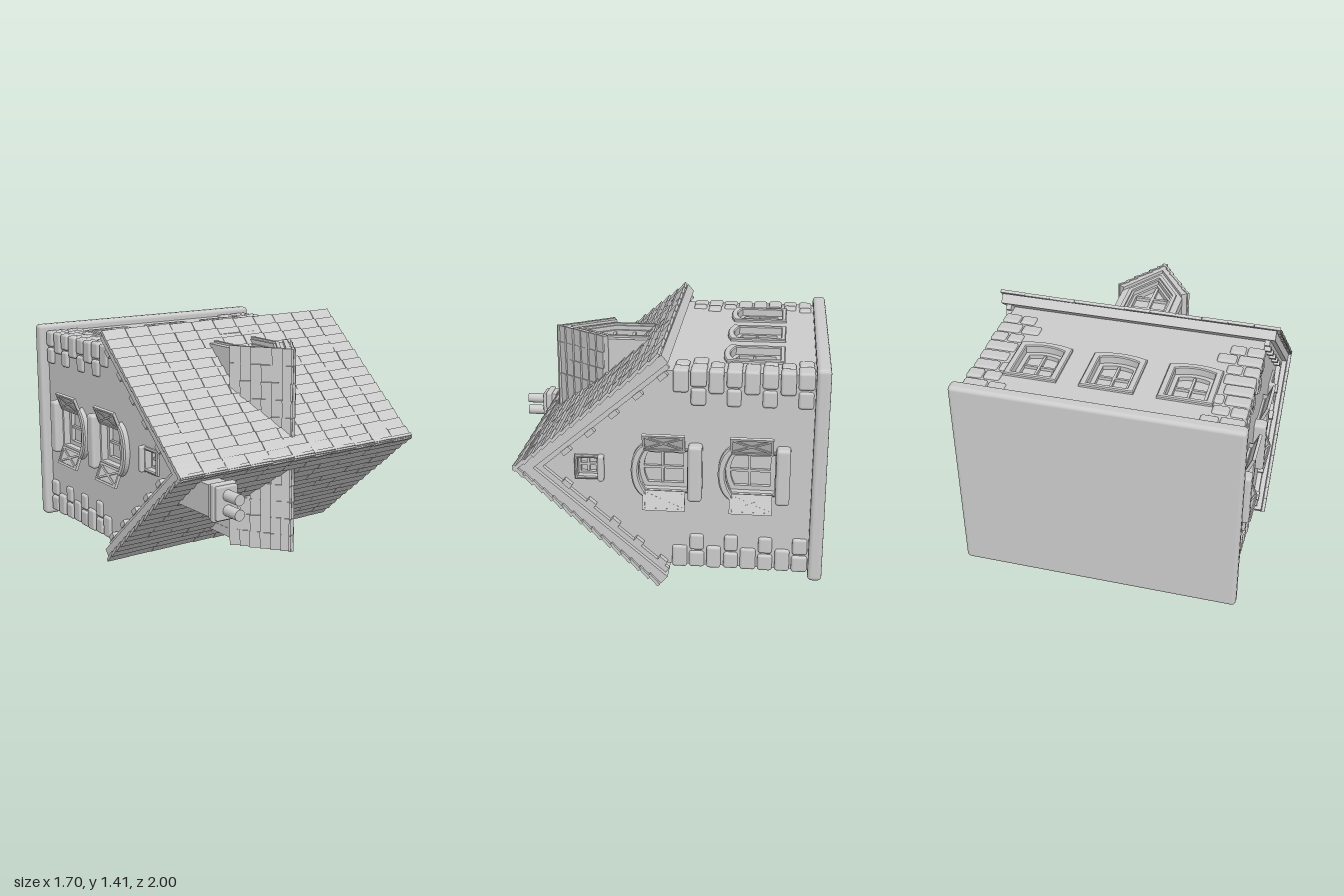
import * as THREE from 'three';
import { mergeGeometries } from 'three/addons/utils/BufferGeometryUtils.js';
import { RoundedBoxGeometry } from 'three/addons/geometries/RoundedBoxGeometry.js';

const mat = new THREE.MeshStandardMaterial({ color: 0xcccccc });
const K = 1.186; // main roof slope
const KD = 1.444; // dormer roof slope
const EAST = Math.PI / 2;

let seed = 7;
const rand = () => (seed = (seed * 16807) % 2147483647) / 2147483647 - 0.5;

function add(parent, name, geometry, x = 0, y = 0, z = 0) {
  const m = new THREE.Mesh(geometry, mat);
  m.name = name;
  m.position.set(x, y, z);
  parent.add(m);
  return m;
}
function group(parent, name, x = 0, y = 0, z = 0) {
  const g = new THREE.Group();
  g.name = name;
  g.position.set(x, y, z);
  parent.add(g);
  return g;
}
const box = (w, h, d) => new THREE.BoxGeometry(w, h, d);
const rounded = (w, h, d, r) => new RoundedBoxGeometry(w, h, d, 2, r);
const poly = pts => new THREE.Shape(pts.map(p => new THREE.Vector2(...p)));
const extrude = (shape, depth, bevel = 0) => new THREE.ExtrudeGeometry(shape, {
  depth, curveSegments: 10, bevelEnabled: bevel > 0, bevelSize: bevel, bevelThickness: bevel, bevelOffset: -bevel, bevelSegments: 1,
});
const ring = (outer, inner) => { outer.holes.push(inner); return outer; };

// Opening with a shallow arched head; h is the crown height
function arch(w, y0, h, rise) {
  const s = new THREE.Shape();
  s.moveTo(-w / 2, y0);
  s.lineTo(w / 2, y0);
  s.lineTo(w / 2, h - rise);
  s.quadraticCurveTo(0, h + rise, -w / 2, h - rise);
  s.closePath();
  return s;
}
// House-end outline: upright sides under a pointed top
const pent = (w, y0, apex, k) => poly([[-w, y0], [w, y0], [w, apex - k * w], [0, apex], [-w, apex - k * w]]);

// Inverted V of even thickness, centred along its length
function chevron(apex, w, k, t, length) {
  const q = Math.hypot(1, k), nx = k / q, ny = 1 / q;
  const e = apex - k * w;
  return extrude(poly([[0, apex], [-w, e], [-w + t * nx, e - t * ny], [0, apex - t / ny], [w - t * nx, e - t * ny], [w, e]]), length)
    .translate(0, 0, -length / 2);
}

// Overlapping tiles on a slope that falls along +z from the ridge
function tileSlope(width, length, cols, rows, thick) {
  const parts = [], cw = width / cols, rl = length / rows;
  for (let i = 0; i < cols; i++) {
    for (let j = 0; j < rows; j++) {
      parts.push(box(cw * 0.985, thick, rl * 1.2)
        .rotateX(-0.15).rotateY(0.03 + rand() * 0.03)
        .translate((i + 0.5) * cw - width / 2, -thick / 2 + rand() * 0.004, (j + 0.5) * rl));
    }
  }
  return mergeGeometries(parts);
}
function tiledRoof(parent, name, apex, k, w, width, cols, rows, thick, turn) {
  for (const side of [0, Math.PI]) {
    const g = group(parent, name, 0, apex, 0);
    g.rotation.y = turn + side;
    add(g, name + 'Rows', tileSlope(width, w * Math.hypot(1, k), cols, rows, thick)).rotation.x = Math.atan(k);
  }
}

// Recessed window, origin at the bottom of the opening on the wall face
function windowUnit(parent, name, x, y, w, h, rise, border) {
  const g = group(parent, name, x, y, 0);
  const s = w * 0.11;
  add(g, 'frame', extrude(ring(arch(w + 2 * border, -0.03, h + border, rise), arch(w, 0, h, rise)), 0.012, 0.006), 0, 0, 0);
  add(g, 'sash', extrude(ring(arch(w, 0, h, rise), arch(w - 2 * s, s, h - s, rise * 0.8)), 0.025), 0, 0, -0.055);
  add(g, 'upright', box(0.014, h - s, 0.02), 0, h / 2, -0.045);
  add(g, 'crossbar', box(w - s, 0.014, 0.018), 0, h * 0.52, -0.045);
  return g;
}

// Shutter hinged at its inner edge, swung slightly off the wall
function shutter(parent, side) {
  const g = group(parent, 'shutter', side * 0.125, 0.01, 0.012);
  g.rotation.y = -side * 0.38;
  const W = 0.115, H = 0.24, c = side * W / 2;
  const rect = (w, h) => poly([[-w, -h], [w, -h], [w, h], [-w, h]]);
  add(g, 'shutterFrame', extrude(ring(rect(W / 2, H / 2), rect(W / 2 - 0.014, H / 2 - 0.014)), 0.018), c, H / 2, 0);
  add(g, 'shutterPanel', box(W - 0.02, H - 0.02, 0.007), c, H / 2, 0.007);
  for (const d of [-1, 1]) add(g, 'brace', box(0.012, 0.22, 0.012), c, H / 2, 0.01).rotation.z = d * 0.37;
}

function sideWindow(parent, y) {
  const g = windowUnit(parent, 'sideWindow', 0, y, 0.23, 0.275, 0.03, 0.018);
  const hood = new THREE.Shape();
  hood.moveTo(-0.165, 0.235);
  hood.quadraticCurveTo(-0.13, 0.315, 0, 0.318);
  hood.quadraticCurveTo(0.13, 0.315, 0.165, 0.235);
  hood.lineTo(0.125, 0.235);
  hood.quadraticCurveTo(0, 0.315, -0.125, 0.235);
  add(g, 'hood', extrude(hood, 0.03, 0.008));
  add(g, 'sill', rounded(0.335, 0.08, 0.09, 0.02), 0, -0.045, 0.025);
  for (const s of [-1, 1]) shutter(g, s);
}

function dormerFace(parent) {
  const g = group(parent, 'dormerFace');
  add(g, 'dormerWall', extrude(ring(pent(0.19, 0.95, 1.576, KD), pent(0.115, 1.05, 1.47, KD)), 0.055), 0, 0, 0.53);
  add(g, 'dormerTrim', extrude(ring(pent(0.15, 1.02, 1.53, KD), pent(0.128, 1.04, 1.492, KD)), 0.012), 0, 0, 0.585);
  add(g, 'dormerSash', extrude(ring(pent(0.115, 1.05, 1.47, KD), pent(0.1, 1.065, 1.443, KD)), 0.03), 0, 0, 0.53);
  add(g, 'dormerUpright', box(0.018, 0.4, 0.02), 0, 1.25, 0.54);
  for (const y of [1.185, 1.305]) add(g, 'dormerCrossbar', box(0.22, 0.018, 0.02), 0, y, 0.54);
  add(g, 'dormerSill', box(0.39, 0.03, 0.12), 0, 1.005, 0.565);
}

export function createModel() {
  const model = new THREE.Group();
  model.name = 'cottage';
  // The house is built upright, then laid down so its roof points to the front
  const house = group(model, 'house', 0, 0.71, -1);
  house.rotation.x = Math.PI / 2;

  add(house, 'basePlate', rounded(1.65, 0.08, 1.265, 0.025), 0, 0.04, 0);

  // Inner body, which closes the window recesses
  add(house, 'core', extrude(pent(0.53, 0.04, 1.62, K), 1.42).translate(0, 0, -0.71)).rotation.y = EAST;

  // Long walls with three windows and a dormer, gable walls with shuttered windows
  for (const turn of [0, Math.PI]) {
    const side = group(house, 'longSide');
    side.rotation.y = turn;
    const wall = poly([[-0.77, 0.04], [0.77, 0.04], [0.77, 0.95], [-0.77, 0.95]]);
    const units = group(side, 'longWindows', 0, 0, 0.585);
    for (const x of [-0.44, 0, 0.44]) {
      const hole = arch(0.23, 0, 0.28, 0.025).getPoints(10).map(p => p.add(new THREE.Vector2(x, 0.28)));
      wall.holes.push(new THREE.Path(hole));
      windowUnit(units, 'longWindow', x, 0.28, 0.23, 0.28, 0.025, 0.04);
    }
    add(side, 'longWall', extrude(wall, 0.055), 0, 0, 0.53);
    dormerFace(side);

    const gable = group(house, 'gableSide');
    gable.rotation.y = turn + EAST;
    const gw = pent(0.585, 0.04, 1.64, K);
    const gu = group(gable, 'gableWindows', 0, 0, 0.77);
    for (const y of [0.285, 0.775]) {
      gw.holes.push(new THREE.Path(arch(0.23, y, y + 0.275, 0.03).getPoints(10)));
      sideWindow(gu, y);
    }
    gw.holes.push(new THREE.Path(arch(0.11, 1.285, 1.4, 0.002).getPoints(4)));
    const attic = windowUnit(gu, 'atticWindow', 0, 1.285, 0.11, 0.115, 0.002, 0.018);
    add(attic, 'atticSill', rounded(0.155, 0.035, 0.05, 0.012), 0, -0.02, 0.015);
    add(gable, 'gableWall', extrude(gw, 0.06), 0, 0, 0.71);

    // Trim and rafter blocks under the verge
    add(gable, 'gableTrim', chevron(1.65, 0.635, K, 0.035, 0.03), 0, 0, 0.785);
    for (const s of [-1, 1]) for (let i = 0; i < 5; i++) {
      const z = 0.1 + i * 0.115;
      add(gable, 'rafterBlock', box(0.055, 0.03, 0.04), s * z, 1.578 - K * z, 0.787).rotation.z = -s * Math.atan(K);
    }
  }

  // Corner stones: one wraps the corner in each row, with smaller ones beside it
  const cornerX = [0.135, 0.09, 0.14, 0.165, 0.18, 0.09, 0.14, 0.1];
  const nextX = [0.1, 0.095, 0.06, 0, 0, 0.09, 0.11, 0.09];
  for (const sx of [-1, 1]) for (const sz of [-1, 1]) for (let i = 0; i < 8; i++) {
    const g = group(house, 'cornerStones', 0, 0.13 + 0.098 * i, 0);
    const lz = i % 2 ? 0.135 : 0.1, h = 0.086 + rand() * 0.01;
    const X = 0.788 + rand() * 0.01, Z = 0.598 + rand() * 0.006;
    add(g, 'cornerStone', rounded(cornerX[i], h, lz, 0.016), sx * (X - cornerX[i] / 2), 0, sz * (Z - lz / 2));
    if (nextX[i]) add(g, 'wallStone', rounded(nextX[i], h - 0.006, 0.05, 0.016), sx * (X - cornerX[i] - 0.008 - nextX[i] / 2), 0, sz * (Z - 0.025));
    if (i % 2 === 0) add(g, 'gableStone', rounded(0.05, h - 0.006, 0.1, 0.016), sx * (X - 0.025), 0, sz * (Z - lz - 0.058));
  }

  // Main roof: deck, tiles and ridge caps
  add(house, 'roofDeck', chevron(1.735, 0.69, K, 0.058, 1.66)).rotation.y = EAST;
  tiledRoof(house, 'roofTiles', 1.76, K, 0.695, 1.7, 11, 15, 0.018, 0);
  for (let i = 0; i < 11; i++) {
    add(house, 'ridgeCap', chevron(1.765 + rand() * 0.006, 0.06, K, 0.02, 0.152), (i - 5) * 0.1545, 0, 0).rotation.y = EAST;
  }

  // Dormers: one body and roof pass through the house and show on both slopes
  add(house, 'dormerBody', extrude(pent(0.188, 0.95, 1.57, KD), 1.06), 0, 0, -0.53);
  add(house, 'dormerDeck', chevron(1.635, 0.213, KD, 0.035, 1.21));
  tiledRoof(house, 'dormerTiles', 1.652, KD, 0.22, 1.22, 12, 6, 0.013, EAST);

  // Chimney with two pots
  const chimney = group(house, 'chimney', -0.633, 0, 0.135);
  add(chimney, 'stack', box(0.125, 0.4, 0.18), 0, 1.64, 0);
  add(chimney, 'capBase', rounded(0.14, 0.03, 0.195, 0.008), 0, 1.815, 0);
  add(chimney, 'cap', rounded(0.155, 0.04, 0.215, 0.012), 0, 1.845, 0);
  add(chimney, 'capTop', rounded(0.135, 0.03, 0.19, 0.008), 0, 1.873, 0);
  for (const z of [-0.042, 0.042]) add(chimney, 'pot', new THREE.CylinderGeometry(0.032, 0.032, 0.13, 20), 0, 1.935, z);

  return model;
}
